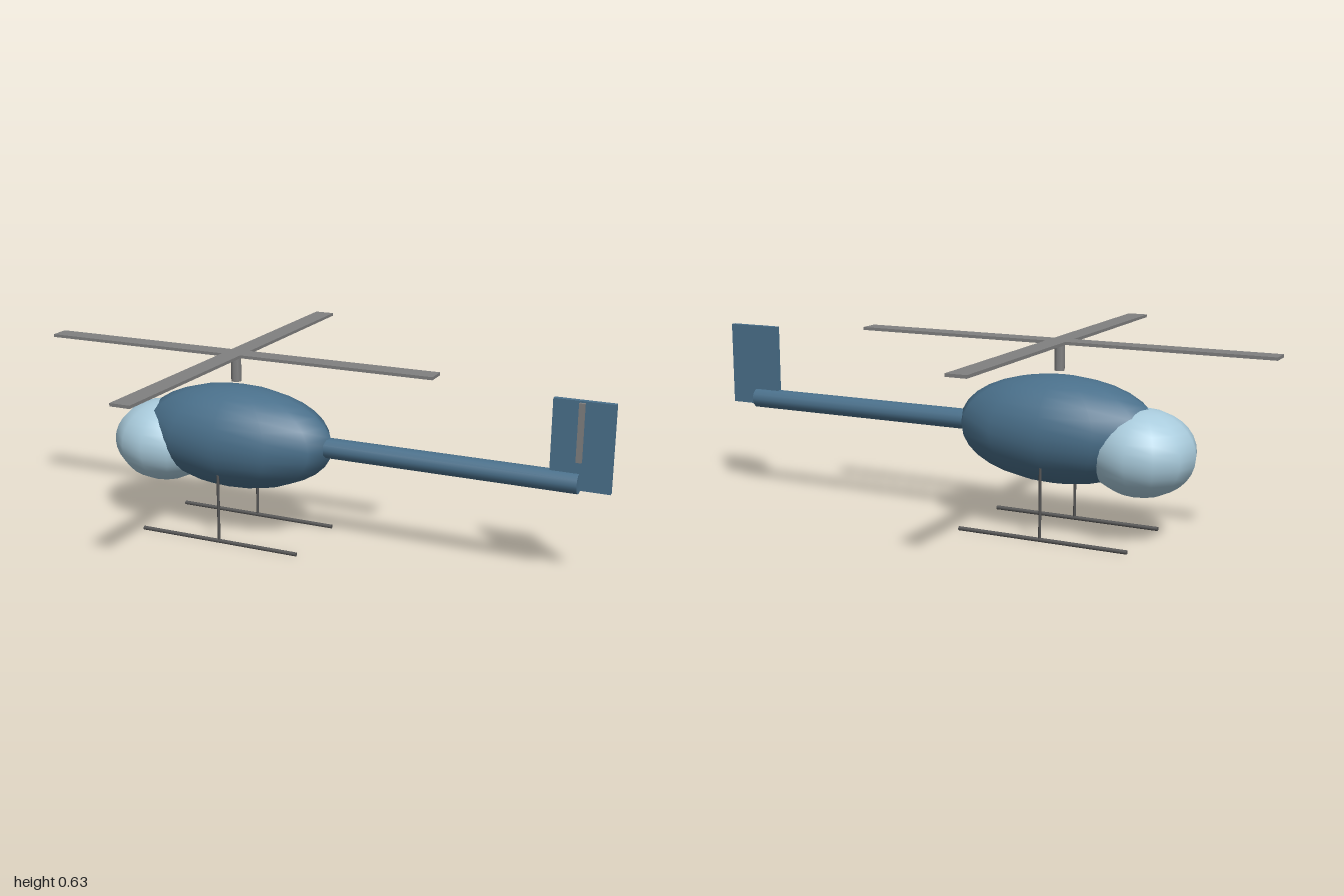
import * as THREE from 'three';

const mat = (color) => new THREE.MeshStandardMaterial({ color });

export function createModel() {
  const model = new THREE.Group();
  model.name = 'helicopter';
  const blue = mat(0x4a708b), glass = mat(0xa9cbdc), grey = mat(0x808080), dark = mat(0x555555);
  const cx = -0.287; // rotor axis

  const add = (name, geometry, material, x, y, z, parent = model) => {
    const mesh = new THREE.Mesh(geometry, material);
    mesh.name = name;
    mesh.position.set(x, y, z);
    parent.add(mesh);
    return mesh;
  };
  const ellipsoid = (rx, ry, rz) => new THREE.SphereGeometry(1, 12, 16).scale(rx, ry, rz);
  const rodX = (r, length, sides) => new THREE.CylinderGeometry(r, r, length, sides).rotateZ(Math.PI / 2);

  // Fuselage and bubble cockpit
  add('fuselage', ellipsoid(0.357, 0.1775, 0.1775), blue, cx, 0.344, 0);
  add('cockpit', ellipsoid(0.178, 0.142, 0.166), glass, -0.573, 0.295, 0);

  // Tail boom, fin and tail rotor
  add('tailBoom', rodX(0.035, 0.9, 12), blue, 0.45, 0.344, 0);
  add('tailFin', new THREE.BoxGeometry(0.193, 0.284, 0.018), blue, 0.903, 0.465, 0);
  add('tailRotor', new THREE.BoxGeometry(0.018, 0.187, 0.01), grey, 0.9, 0.511, 0.024);

  // Main rotor
  const rotor = new THREE.Group();
  rotor.name = 'mainRotor';
  model.add(rotor);
  add('mast', new THREE.CylinderGeometry(0.018, 0.018, 0.094, 8), grey, cx, 0.583, 0, rotor);
  for (let i = 0; i < 2; i++) {
    const blade = add('rotorBlade', new THREE.BoxGeometry(1.427, 0.01, 0.069), grey, cx, 0.63, 0, rotor);
    blade.rotation.y = (i * Math.PI) / 2;
  }

  // Landing gear, one skid and strut per side
  for (const side of [-1, 1]) {
    const gear = new THREE.Group();
    gear.name = side > 0 ? 'frontSkid' : 'rearSkid';
    model.add(gear);
    add('skidRail', rodX(0.0072, 0.588, 8), dark, -0.29, 0.0072, side * 0.143, gear);
    add('skidStrut', new THREE.CylinderGeometry(0.005, 0.005, 0.238, 8), dark, cx, 0.125, side * 0.143, gear);
  }
  return model;
}
